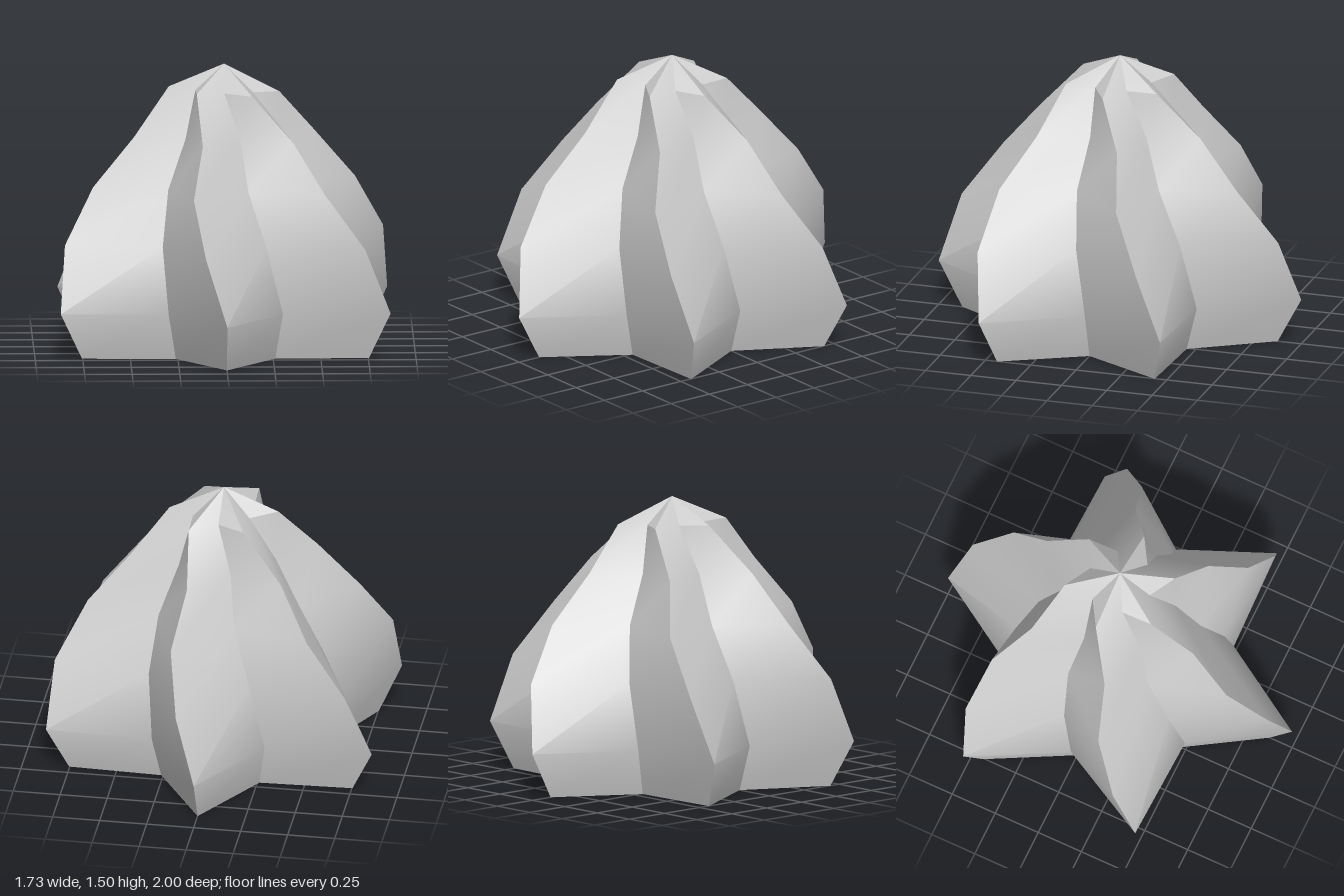
import * as THREE from 'three';
import { toCreasedNormals } from 'three/addons/utils/BufferGeometryUtils.js';

const POINTS = 6;
const VALLEY = 0.6; // valley radius relative to the star tips

// Star-shaped rings from bottom to top: height, tip radius, twist in degrees
const RINGS = [
  [0, 0.87, 0],
  [0.245, 1, 0],
  [0.59, 0.915, 6.9],
  [0.875, 0.72, 13.7],
  [1.13, 0.495, 14],
  [1.367, 0.29, 30.5],
];

function ringPoint([y, r, twist], j, tilt) {
  const t = (j * Math.PI) / POINTS + THREE.MathUtils.degToRad(twist);
  const radius = j % 2 ? r * VALLEY : r;
  const x = -radius * Math.sin(t);
  return [x, y - tilt * x, radius * Math.cos(t)];
}

function swirlGeometry() {
  const n = POINTS * 2;
  const last = RINGS.length - 1;
  const positions = [];
  const index = [];
  RINGS.forEach((ring, i) => {
    // the topmost ring leans slightly sideways
    for (let j = 0; j < n; j++) positions.push(...ringPoint(ring, j, i === last ? 0.045 : 0));
  });
  const base = RINGS.length * n;
  const apex = base + 1;
  positions.push(0, 0, 0, 0, 1.5, 0);

  for (let j = 0; j < n; j++) {
    const k = (j + 1) % n;
    // twisted walls
    for (let i = 0; i < last; i++) {
      const a = i * n + j, b = i * n + k, c = b + n, d = a + n;
      index.push(a, d, b, d, c, b);
    }
    // flat underside and pointed top
    index.push(base, j, k);
    index.push(last * n + j, apex, last * n + k);
  }

  const geometry = new THREE.BufferGeometry();
  geometry.setAttribute('position', new THREE.Float32BufferAttribute(positions, 3));
  geometry.setIndex(index);
  return toCreasedNormals(geometry, THREE.MathUtils.degToRad(30));
}

export function createModel() {
  const group = new THREE.Group();
  group.name = 'creamDollop';
  const swirl = new THREE.Mesh(
    swirlGeometry(),
    new THREE.MeshStandardMaterial({ color: 0xcccccc })
  );
  swirl.name = 'twistedStarSwirl';
  group.add(swirl);
  return group;
}
